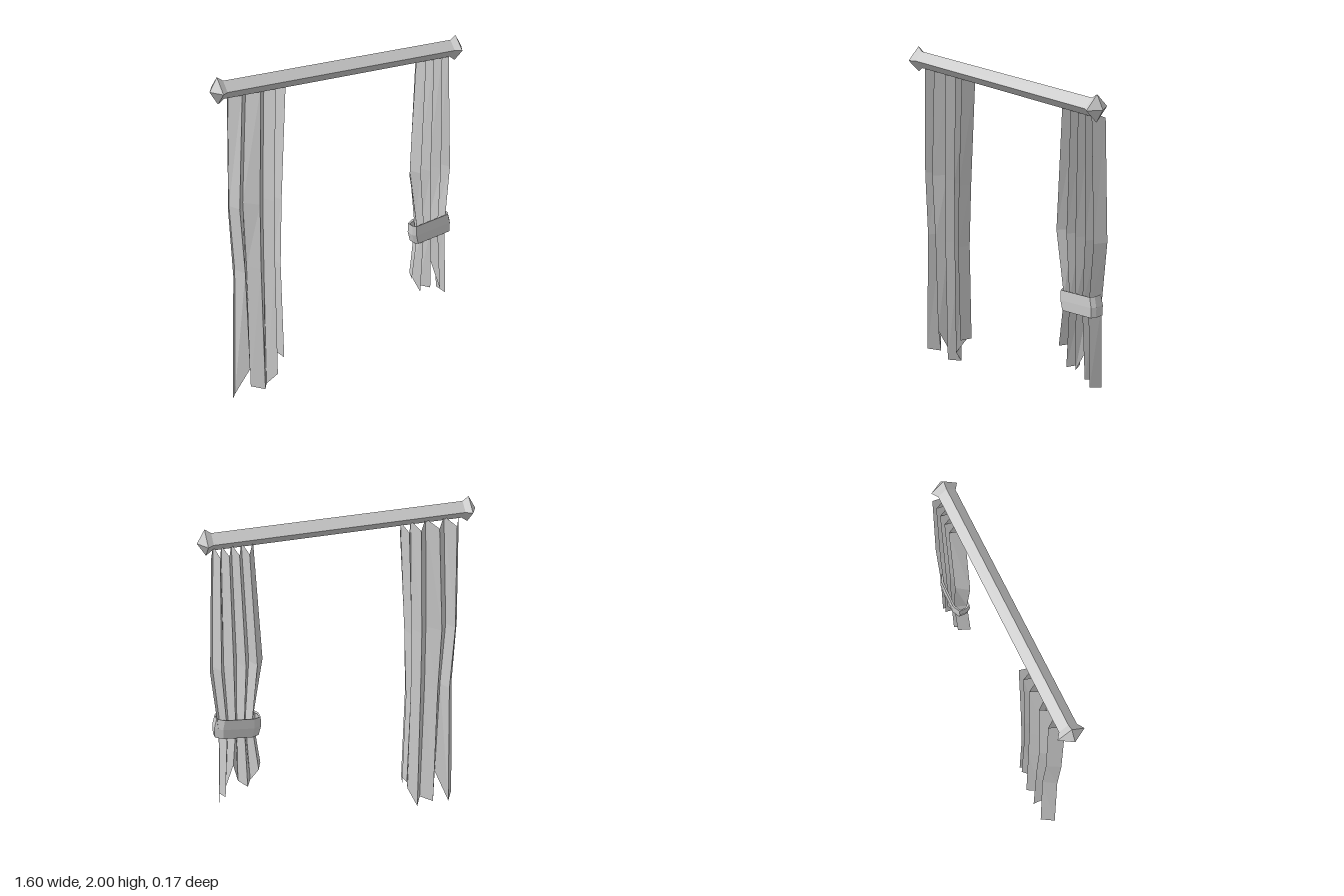
import * as THREE from 'three';

const grey = new THREE.MeshStandardMaterial({ color: 0xcccccc, flatShading: true });
const cloth = new THREE.MeshStandardMaterial({ color: 0xcccccc, flatShading: true, side: THREE.DoubleSide });

// Surface through rows of [x, y, z] points, optionally closed around each row
function loft(rows, closed) {
  const n = rows[0].length, index = [];
  for (let r = 0; r < rows.length - 1; r++) {
    for (let i = 0; i < (closed ? n : n - 1); i++) {
      const a = r * n + i, b = r * n + (i + 1) % n;
      index.push(a, a + n, b, b, a + n, b + n);
    }
  }
  const g = new THREE.BufferGeometry();
  g.setAttribute('position', new THREE.Float32BufferAttribute(rows.flat(2), 3));
  g.setIndex(index);
  g.computeVertexNormals();
  return g;
}

function add(parent, name, geometry, material) {
  const mesh = new THREE.Mesh(geometry, material);
  mesh.name = name;
  parent.add(mesh);
  return mesh;
}

// Four-sided turned part along x
function turned(profile) {
  const pts = profile.map(([r, x]) => new THREE.Vector2(r, x));
  return new THREE.LatheGeometry(pts, 4).rotateZ(-Math.PI / 2).translate(0, 1.925, 0.007);
}

// Pleated sheet: fold lines alternate front and back; each row is { y, x }
function curtain(rows) {
  return loft(rows.map(({ y, x }) => x.map((px, i) => {
    const back = i % 2 === 1;
    const py = Array.isArray(y) ? y[i] : y;
    return [px, py, back ? -0.07 : 0.004];
  })), false);
}

export function createModel() {
  const model = new THREE.Group();
  model.name = 'curtains';

  // Rod and pointed end knobs
  add(model, 'rod', turned([[0.05, -0.725], [0.05, 0.725]]), grey);
  const knob = turned([[0.05, 0.72], [0.075, 0.755], [0, 0.8]]);
  add(model, 'leftKnob', knob, grey);
  const right = add(model, 'rightKnob', knob, grey);
  right.rotation.y = Math.PI;
  right.position.z = 0.014;

  // Scalloped top edge shared by both curtains
  const top = Array.from({ length: 10 }, (_, i) => (i % 2 ? 1.86 : 1.9));

  // Long hanging curtain with a ragged hem
  add(model, 'longCurtain', curtain([
    { y: top, x: [-0.7, -0.66, -0.61, -0.555, -0.5, -0.445, -0.41, -0.375, -0.35, -0.32] },
    { y: 1.22, x: [-0.72, -0.68, -0.65, -0.595, -0.525, -0.47, -0.435, -0.41, -0.39, -0.365] },
    { y: 0.82, x: [-0.705, -0.66, -0.63, -0.585, -0.53, -0.475, -0.44, -0.415, -0.405, -0.385] },
    { y: [0.02, 0, 0.19, 0.02, 0.02, 0.005, 0.1, 0.2, 0.2, 0.2],
      x: [-0.74, -0.69, -0.62, -0.585, -0.525, -0.48, -0.44, -0.405, -0.395, -0.375] },
  ]), cloth);

  // Short curtain gathered at the tie
  add(model, 'tiedCurtain', curtain([
    { y: top, x: [0.495, 0.535, 0.56, 0.59, 0.615, 0.645, 0.67, 0.695, 0.715, 0.745] },
    { y: 1.18, x: [0.465, 0.515, 0.545, 0.58, 0.615, 0.65, 0.69, 0.72, 0.755, 0.785] },
    { y: 0.8, x: [0.535, 0.56, 0.58, 0.605, 0.63, 0.655, 0.68, 0.705, 0.73, 0.755] },
    { y: [0.49, 0.49, 0.38, 0.385, 0.39, 0.55, 0.36, 0.34, 0.325, 0.31],
      x: [0.5, 0.53, 0.565, 0.6, 0.64, 0.68, 0.715, 0.735, 0.755, 0.775] },
  ]), cloth);

  // Tilted tie band, bulging at mid height
  const loop = [[-0.12, 0.05], [0.12, 0.05], [0.135, 0.025], [0.135, -0.025],
    [0.09, -0.05], [-0.09, -0.05], [-0.135, -0.025], [-0.135, 0.025]];
  const ring = (y, sx, sz) => loop.map(([x, z]) => [x * sx, y, z * sz]);
  const tie = add(model, 'tieBand', loft([
    ring(0.055, 0.9, 0.7), ring(0.06, 0.96, 0.95), ring(0, 1.02, 1),
    ring(-0.06, 0.96, 0.95), ring(-0.055, 0.9, 0.7),
  ], true), cloth);
  tie.position.set(0.64, 0.797, -0.034);
  tie.rotation.z = 0.13;

  return model;
}
